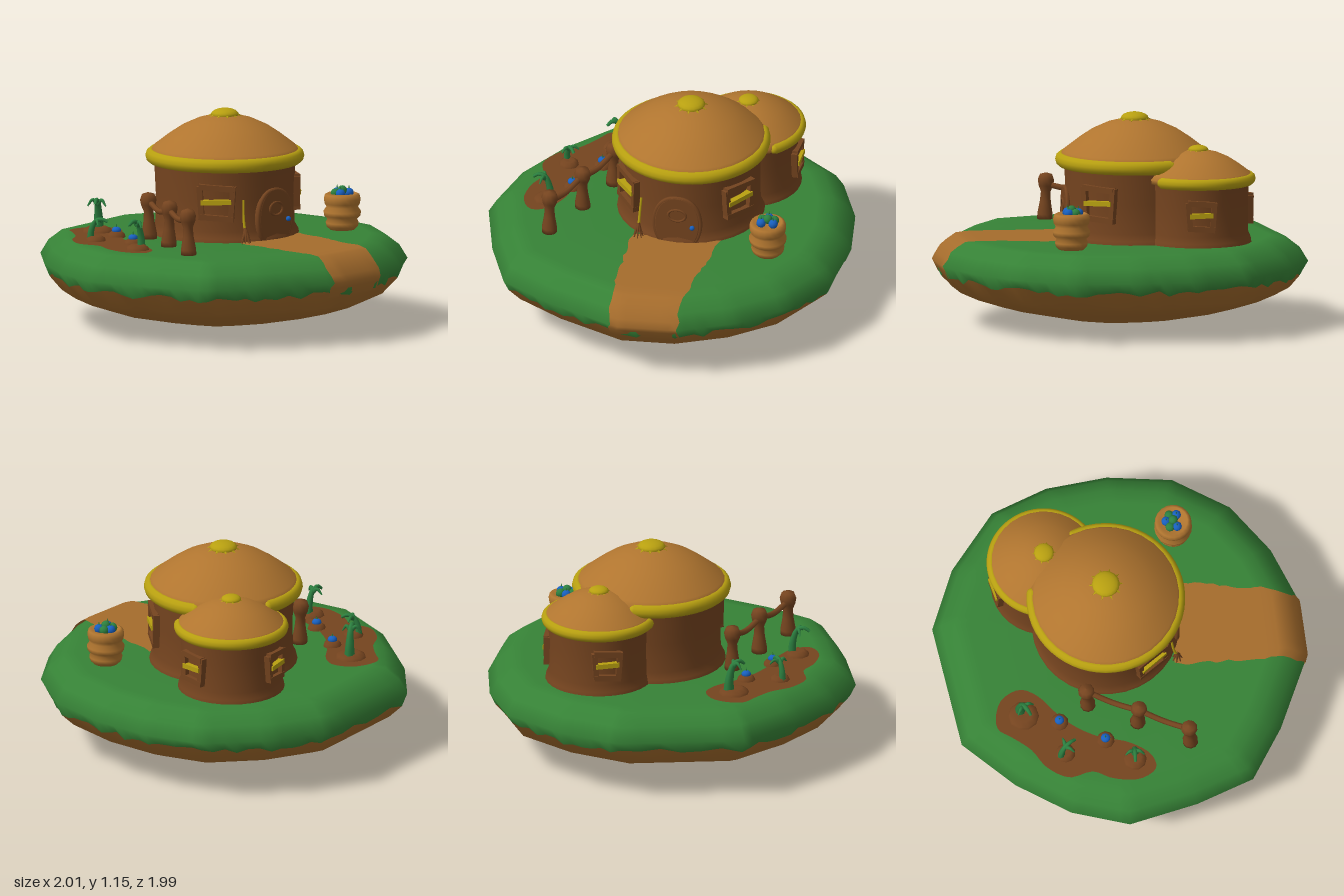
import * as THREE from 'three';

const mat = (name, color) => Object.assign(new THREE.MeshStandardMaterial({ color }), { name });
const grass = mat('grass', 0x368236);
const clay = mat('clay', 0xb0752f);
const wood = mat('wood', 0x75441f);
const gold = mat('gold', 0xb8a010);
const berry = mat('berry', 0x1860c0);
const leaf = mat('leaf', 0x2c8040);
const dirt = mat('dirt', 0xa56c2c);
dirt.side = THREE.DoubleSide;

const GROUND = 0.485;
const V = (x, y, z) => new THREE.Vector3(x, y, z);
const rad = THREE.MathUtils.degToRad;
const noise = (i) => { const s = Math.sin(i * 127.1 + 3.7) * 43758.5; return s - Math.floor(s) - 0.5; };

function add(parent, name, geometry, material, x = 0, y = 0, z = 0) {
  const m = new THREE.Mesh(geometry, material);
  m.name = name;
  m.position.set(x, y, z);
  parent.add(m);
  return m;
}

function group(parent, name, x = 0, y = 0, z = 0) {
  const g = new THREE.Group();
  g.name = name;
  g.position.set(x, y, z);
  parent.add(g);
  return g;
}

const lathe = (points, sides = 24) =>
  new THREE.LatheGeometry(points.map(([r, y]) => new THREE.Vector2(r, y)), sides);

// Smooth surface through rows of points
function grid(rows, closed) {
  const n = rows[0].length, index = [];
  for (let i = 0; i < rows.length - 1; i++) {
    for (let j = 0; j < (closed ? n : n - 1); j++) {
      const k = (j + 1) % n, a = i * n + j, b = i * n + k;
      index.push(a, b, a + n, b, b + n, a + n);
    }
  }
  const g = new THREE.BufferGeometry().setFromPoints(rows.flat());
  g.setIndex(index);
  g.computeVertexNormals();
  return g;
}

// Tube that narrows towards its end
function taperedTube(points, r0, r1) {
  const path = new THREE.CatmullRomCurve3(points), n = 14, sides = 7;
  const g = new THREE.TubeGeometry(path, n, r0, sides), p = g.attributes.position;
  for (let i = 0; i < p.count; i++) {
    const t = Math.floor(i / (sides + 1)) / n, c = path.getPointAt(t);
    const v = new THREE.Vector3().fromBufferAttribute(p, i).sub(c);
    v.multiplyScalar(1 + (r1 / r0 - 1) * t).add(c);
    p.setXYZ(i, v.x, v.y, v.z);
  }
  return g;
}

// Irregular island outline in x, z
const outline = [[0, -1], [0.35, -0.96], [0.65, -0.78], [0.85, -0.52], [0.98, -0.22], [1, 0.1],
  [0.83, 0.5], [0.66, 0.78], [0.35, 0.9], [-0.02, 0.99], [-0.33, 0.9], [-0.62, 0.72],
  [-0.89, 0.47], [-1, -0.2], [-0.87, -0.53], [-0.63, -0.84], [-0.33, -0.96]];
const rim = [];
outline.forEach(([x, z], i) => {
  const [x2, z2] = outline[(i + 1) % outline.length];
  for (let k = 0; k < 6; k++) rim.push([x + (x2 - x) * k / 6, z + (z2 - z) * k / 6]);
});

function island(root) {
  const ring = ([s, y, jag = 0]) =>
    rim.map(([x, z], j) => V(x * s, y + jag * noise(j), z * s));
  const edge = [0.97, 0.285, 0.035];
  add(root, 'grassTop', grid([[0, GROUND], [0.4, GROUND], [0.8, GROUND], [0.88, 0.478],
    [0.955, 0.42], [1, 0.345], edge].map(ring), true), grass);
  add(root, 'islandUnderside', grid([edge, [0.9, 0.2], [0.8, 0.155], [0.66, 0.11],
    [0.35, 0.045], [0, 0.005]].map(ring), true), dirt);

  // Path from the door, over the rim
  const edgeX = (z) => {
    for (let i = 2; i < 8; i++) {
      const [x0, z0] = outline[i], [x1, z1] = outline[i + 1];
      if (z >= z0 && z <= z1) return x0 + (x1 - x0) * (z - z0) / (z1 - z0);
    }
    return 1;
  };
  const steps = [];
  for (let i = 0; i <= 16; i++) steps.push([0.28 + 0.53 * i / 16, GROUND]);
  steps.push([0.845, 0.482], [0.88, 0.478], [0.92, 0.45], [0.955, 0.42], [0.98, 0.382],
    [1, 0.345], [0.985, 0.315], [0.97, 0.285], [0.95, 0.26]);
  const rows = steps.map(([s, y], i) => {
    const a = -0.33 + 0.1 * (s - 0.28) / 0.7 + 0.02 * noise(i);
    const b = 0.145 + 0.02 * noise(i + 50);
    return Array.from({ length: 9 }, (_, j) => {
      const z = a + (b - a) * j / 8;
      return V(s * edgeX(z) + 0.006, y + 0.005, z);
    });
  });
  add(root, 'path', grid(rows, false), dirt);
}

// Crooked frame with a bar across it; x points out of the wall
function window_(house, angle, radius, y, w, h) {
  const a = rad(angle);
  const g = group(house, 'window', Math.cos(a) * radius, y, Math.sin(a) * radius);
  g.rotation.y = -a;
  for (const s of [-1, 1]) {
    const post = add(g, 'windowPost', new THREE.BoxGeometry(0.04, h, 0.03), wood, 0, 0, s * w / 2);
    post.rotation.x = s * 0.07;
    const beam = add(g, 'windowBeam', new THREE.BoxGeometry(0.045, 0.03, w * 1.12), wood, 0, s * h / 2.2, 0);
    beam.rotation.x = -0.06;
  }
  const bar = add(g, 'windowBar', new THREE.BoxGeometry(0.04, 0.026, w * 0.98), gold, 0.008, 0.005, 0);
  bar.rotation.x = 0.04;
}

// Round hut with domed roof; k scales its width, the roof ring leaves a gap
function hut(root, name, x, z, k, eave, start, arc) {
  const g = group(root, name, x, 0, z);
  add(g, 'wall', lathe([[0.4 * k, GROUND - 0.005], [0.395 * k, 0.505], [0.375 * k, 0.54],
    [0.372 * k, 0.7], [0.382 * k, eave]], 32), wood);
  const up = (r, y) => [r * k, eave + y * (k < 1 ? 0.7 : 1)];
  add(g, 'dome', lathe([up(0.37, -0.03), up(0.405, -0.02), up(0.41, 0.015), up(0.385, 0.05), up(0.3, 0.115),
    up(0.235, 0.158), up(0.15, 0.197), up(0.07, 0.218), [0, up(0, 0.222)[1]]], 32), clay);
  const tube = 0.033 * (0.3 + 0.7 * k), R = 0.425 * k - tube + 0.003;
  const hoop = new THREE.TorusGeometry(R, tube, 10, 48, rad(arc));
  hoop.rotateX(Math.PI / 2).rotateY(-rad(start)).scale(1, 1.15, 1);
  add(g, 'roofRing', hoop, gold, 0, eave, 0);
  for (const e of [start, start + arc]) {
    add(g, 'roofRingEnd', new THREE.SphereGeometry(tube, 10, 8), gold,
      Math.cos(rad(e)) * R, eave, Math.sin(rad(e)) * R);
  }
  const top = up(0, 0.222)[1];
  add(g, 'roofKnob', new THREE.SphereGeometry(0.075 * k, 16, 10).scale(1, 0.45, 1), gold, 0, top, 0);
  for (let i = 0; i < 10; i++) {
    const a = i * Math.PI / 5, r = 0.073 * k;
    const spike = new THREE.ConeGeometry(0.016 * k, 0.04 * k, 5).rotateZ(-Math.PI / 2 - 0.15).rotateY(-a);
    add(g, 'knobSpike', spike, gold, Math.cos(a) * r, top - 0.006, Math.sin(a) * r);
  }
  return g;
}

function door(house) {
  const g = group(house, 'door', 0.37, GROUND, 0.005);
  const s = new THREE.Shape();
  s.moveTo(-0.085, 0);
  s.bezierCurveTo(-0.14, 0.08, -0.13, 0.27, 0, 0.27);
  s.bezierCurveTo(0.13, 0.27, 0.14, 0.08, 0.085, 0);
  const geo = new THREE.ExtrudeGeometry(s, { depth: 0.03, bevelSize: 0.008, bevelThickness: 0.008, bevelSegments: 2 });
  add(g, 'doorPanel', geo.rotateY(Math.PI / 2), wood, -0.02);
  const frame = s.getPoints(10).map((p) => V(0.005, p.y, p.x * 1.07));
  add(g, 'doorFrame', new THREE.TubeGeometry(new THREE.CatmullRomCurve3(frame), 40, 0.013, 6), wood);
  add(g, 'peephole', new THREE.TorusGeometry(0.042, 0.007, 6, 20).scale(1.15, 0.85, 1).rotateY(Math.PI / 2),
    wood, 0.02, 0.17, 0);
  add(g, 'doorKnob', new THREE.SphereGeometry(0.014, 10, 8), berry, 0.028, 0.105, -0.085);
}

function broom(root) {
  const g = group(root, 'broom', 0.3, GROUND, 0.11);
  const handle = taperedTube([V(0, 0.04, 0), V(-0.02, 0.13, -0.004), V(-0.03, 0.235, -0.012)], 0.008, 0.006);
  add(g, 'broomHandle', handle, gold);
  for (let i = 0; i < 7; i++) {
    const a = i * Math.PI * 2 / 7;
    add(g, 'bristle', taperedTube([V(-0.005, 0.085, 0), V(0.013 * Math.cos(a), 0.045, 0.013 * Math.sin(a)),
      V(0.026 * Math.cos(a), 0, 0.026 * Math.sin(a))], 0.008, 0.003), wood);
  }
}

function fence(root) {
  const g = group(root, 'fence');
  const posts = [[-0.2, 0.34], [0.06, 0.46], [0.335, 0.59]];
  const profile = [[0, 0], [0.042, 0], [0.042, 0.03], [0.03, 0.1], [0.026, 0.15], [0.04, 0.185],
    [0.045, 0.215], [0.034, 0.245], [0, 0.255]];
  posts.forEach(([x, z], i) => {
    const p = add(g, 'fencePost', lathe(profile, 10), wood, x, GROUND - 0.003, z);
    p.rotation.z = [0.04, -0.03, 0.03][i];
    if (!i) return;
    const [x0, z0] = posts[i - 1];
    add(g, 'fenceRail', new THREE.TubeGeometry(new THREE.CatmullRomCurve3([V(x0, 0.685, z0),
      V((x + x0) / 2, 0.655, (z + z0) / 2), V(x + 0.02, 0.68, z + 0.01)]), 12, 0.016, 7), wood);
  });
}

function garden(root) {
  const g = group(root, 'garden');
  const bed = [[-0.7, 0.38], [-0.66, 0.28], [-0.56, 0.23], [-0.47, 0.27], [-0.38, 0.37], [-0.28, 0.46],
    [-0.15, 0.53], [0, 0.57], [0.12, 0.65], [0.14, 0.73], [0.05, 0.785], [-0.1, 0.77], [-0.2, 0.725],
    [-0.33, 0.75], [-0.45, 0.68], [-0.52, 0.58], [-0.62, 0.5], [-0.69, 0.45]];
  const curve = new THREE.CatmullRomCurve3(bed.map(([x, z]) => V(x, -z, 0)), true);
  add(g, 'soilBed', new THREE.ShapeGeometry(new THREE.Shape(curve.getPoints(60))).rotateX(-Math.PI / 2),
    wood, 0, GROUND + 0.004, 0);
  // x, z, mound radius, plant height (0 for a berry), turn
  for (const [x, z, r, h, turn] of [[-0.55, 0.38, 0.085, 0.18, 1], [-0.36, 0.43, 0.05, 0, 0],
    [-0.34, 0.61, 0.055, 0.12, -0.6], [-0.12, 0.55, 0.05, 0, 0], [0.03, 0.67, 0.065, 0.16, 1.6]]) {
    const p = group(g, h ? 'sprout' : 'berryPlant', x, GROUND, z);
    p.rotation.y = -turn;
    add(p, 'mound', lathe([[r, 0], [r * 0.9, 0.018], [r * 0.55, 0.032], [0, 0.026]], 10), wood);
    if (!h) {
      add(p, 'berry', new THREE.SphereGeometry(0.026, 12, 8).scale(1, 0.8, 1), berry, 0, 0.036, 0);
      add(p, 'berryTip', new THREE.ConeGeometry(0.007, 0.025, 5), leaf, 0, 0.062, 0);
      continue;
    }
    add(p, 'stalk', taperedTube([V(-0.03, 0.01, 0), V(-0.025, h * 0.5, 0), V(0, h * 0.92, 0), V(0.035, h, 0),
      V(0.065, h * 0.88, 0)], r * 0.36, 0.008), leaf);
    for (const s of [-1, 1]) {
      add(p, 'curledLeaf', taperedTube([V(0, h * 0.85, 0), V(0.01, h * 0.98, s * 0.025),
        V(0.02, h * 0.8, s * 0.05)], 0.014, 0.004), leaf);
    }
  }
}

function pot(root) {
  const g = group(root, 'berryPot', 0.33, GROUND - 0.002, -0.605);
  add(g, 'pot', lathe([[0, 0], [0.065, 0], [0.085, 0.02], [0.09, 0.04], [0.08, 0.06], [0.098, 0.078],
    [0.102, 0.1], [0.085, 0.126], [0.096, 0.145], [0.1, 0.17], [0.094, 0.192], [0.078, 0.2],
    [0.068, 0.185], [0, 0.175]], 20), clay);
  for (let i = 0; i < 6; i++) {
    const a = i * Math.PI / 3, r = i ? 0.038 : 0, blue = i % 2;
    const y = i ? 0.2 : 0.215, x = Math.cos(a) * r, z = Math.sin(a) * r;
    add(g, blue ? 'blueBerry' : 'greenFruit', new THREE.SphereGeometry(0.026, 10, 8), blue ? berry : leaf, x, y, z);
    if (blue) add(g, 'berryTip', new THREE.ConeGeometry(0.006, 0.022, 5), leaf, x, y + 0.032, z);
  }
}

export function createModel() {
  const root = new THREE.Group();
  root.name = 'floatingIslandHut';
  island(root);
  const main = hut(root, 'mainHut', -0.07, -0.11, 1, 0.903, -112, 300);
  for (const a of [-53, 53]) window_(main, a, 0.375, 0.7, 0.17, 0.18);
  door(main);
  const side = hut(root, 'sideHut', -0.385, -0.365, 0.72, 0.828, 97, 223);
  for (const a of [-87, 165]) window_(side, a, 0.268, 0.655, 0.13, 0.15);
  broom(root);
  fence(root);
  garden(root);
  pot(root);
  return root;
}
